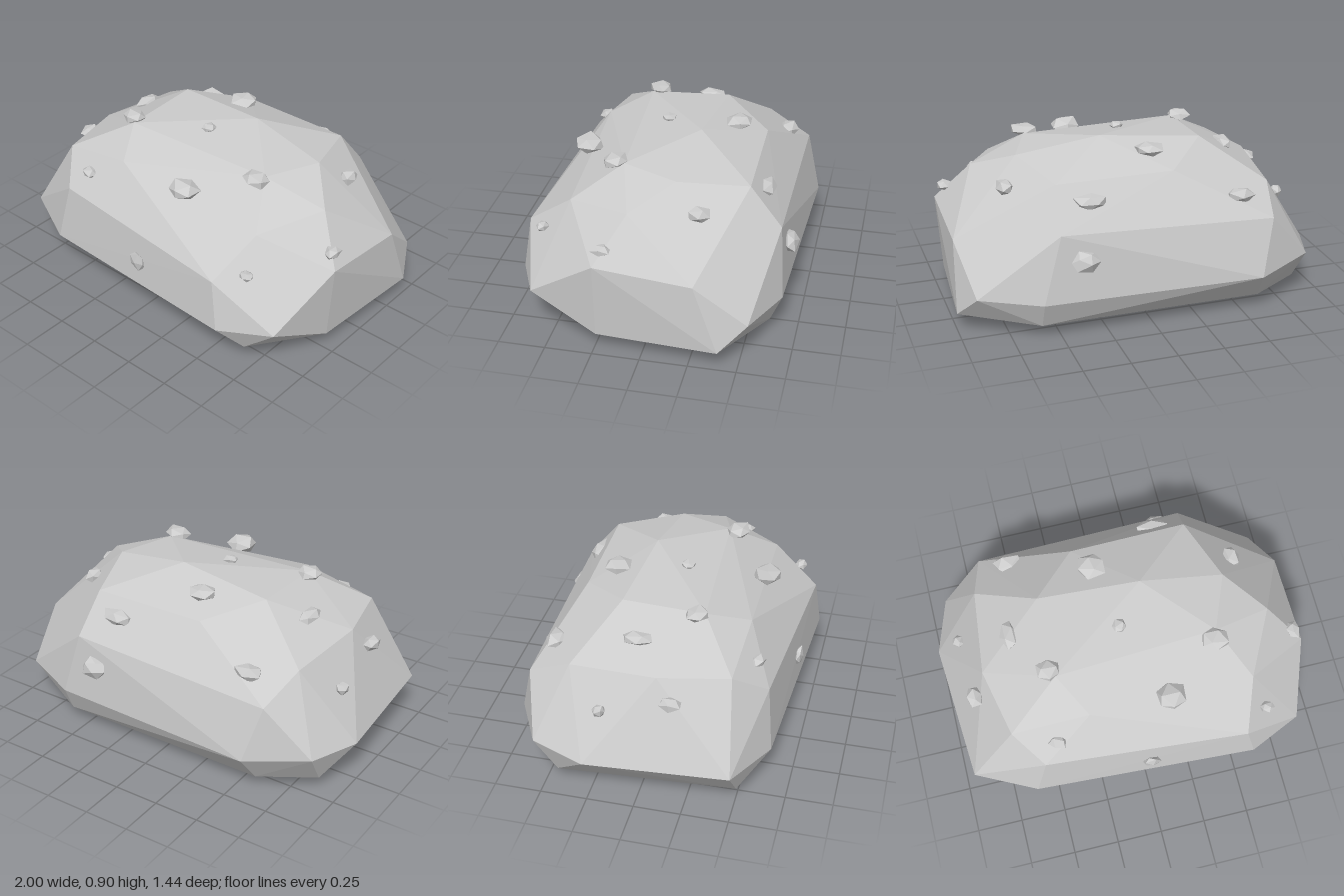
import * as THREE from 'three';
import { ConvexGeometry } from 'three/addons/geometries/ConvexGeometry.js';

const material = new THREE.MeshStandardMaterial({ color: 0xcccccc, flatShading: true });

function seeded(seed) {
  return () => {
    seed = (seed * 16807) % 2147483647;
    return seed / 2147483647;
  };
}

function hull(name, points) {
  const mesh = new THREE.Mesh(new ConvexGeometry(points), material);
  mesh.name = name;
  return mesh;
}

// Corner points of the faceted boulder, ring by ring
const corners = [
  // underside
  [-0.64, 0, 0.31], [0.66, 0, 0.31], [0.62, 0, -0.33], [-0.64, 0, -0.33],
  // lower bevel
  [-0.81, 0.06, 0.5], [0.7, 0.1, 0.61], [0.95, 0.09, 0.24], [1, 0.1, -0.4],
  [0.6, 0.07, -0.61], [-0.6, 0.07, -0.61], [-0.88, 0.07, -0.44],
  // widest ring
  [-0.62, 0.2, 0.645], [0.6, 0.225, 0.72], [0.88, 0.26, 0.6], [0.92, 0.23, -0.54],
  [0.6, 0.21, -0.67], [-0.58, 0.22, -0.72], [-0.9, 0.25, -0.56], [-1, 0.23, -0.27], [-0.945, 0.23, 0.49],
  // shoulder
  [-0.55, 0.53, 0.61], [0.55, 0.49, 0.69], [0.98, 0.51, 0.24], [0.98, 0.46, -0.27],
  [0.5, 0.57, -0.64], [-0.66, 0.52, -0.64],
  // upper slopes
  [-0.69, 0.67, 0.44], [-0.27, 0.75, 0.46], [0.63, 0.68, 0.44], [0.8, 0.73, 0.1],
  [0.48, 0.78, -0.47], [-0.16, 0.78, -0.46], [-0.72, 0.64, -0.4], [-0.77, 0.67, 0.07],
  // crown
  [-0.4, 0.84, 0.24], [0.48, 0.84, 0.19], [0.6, 0.83, -0.11], [0.15, 0.905, -0.15], [-0.4, 0.86, -0.2],
];

// Pebbles: centre x, y, z, then width, height, depth
const pebbles = [
  [0.17, 0.77, 0.46, 0.15, 0.09, 0.15],
  [-0.465, 0.635, 0.53, 0.1, 0.055, 0.08],
  [0.685, 0.535, 0.58, 0.08, 0.05, 0.07],
  [0.02, 0.36, 0.68, 0.1, 0.11, 0.05],
  [0.46, 0.845, 0.24, 0.14, 0.06, 0.13],
  [-0.43, 0.855, 0.2, 0.12, 0.06, 0.12],
  [-0.015, 0.88, 0.06, 0.075, 0.04, 0.07],
  [0.93, 0.585, 0.205, 0.07, 0.055, 0.1],
  [0.69, 0.71, -0.25, 0.1, 0.075, 0.11],
  [0.32, 0.69, -0.53, 0.17, 0.08, 0.1],
  [0.38, 0.43, -0.675, 0.15, 0.11, 0.09],
  [-0.08, 0.86, -0.31, 0.14, 0.06, 0.14],
  [-0.51, 0.63, -0.53, 0.15, 0.08, 0.13],
  [-0.59, 0.765, -0.07, 0.1, 0.06, 0.16],
  [-0.865, 0.485, -0.21, 0.065, 0.06, 0.07],
  [-0.84, 0.57, 0.16, 0.085, 0.07, 0.11],
];

// Icosahedron corners: cyclic permutations of (0, ±1, ±φ)
function pebblePoints([x, y, z, w, h, d], random) {
  const points = [];
  const spin = random() * 6.28;
  for (let axis = 0; axis < 3; axis++) {
    for (const a of [-1, 1]) {
      for (const b of [-1, 1]) {
        const p = new THREE.Vector3();
        p.setComponent((axis + 1) % 3, a);
        p.setComponent((axis + 2) % 3, b * 1.618);
        p.normalize().applyAxisAngle(new THREE.Vector3(0, 1, 0), spin);
        p.multiplyScalar(0.85 + 0.35 * random());
        points.push(p);
      }
    }
  }
  // fit the jittered stone to its size and place it
  const box = new THREE.Box3().setFromPoints(points);
  const size = box.getSize(new THREE.Vector3());
  const mid = box.getCenter(new THREE.Vector3());
  const scale = new THREE.Vector3(w, h, d).divide(size);
  return points.map((p) => p.sub(mid).multiply(scale).add(new THREE.Vector3(x, y, z)));
}

export function createModel() {
  const model = new THREE.Group();
  model.name = 'boulderWithPebbles';
  model.add(hull('boulder', corners.map((c) => new THREE.Vector3(...c))));

  const stones = new THREE.Group();
  stones.name = 'pebbles';
  const random = seeded(417);
  pebbles.forEach((p, i) => stones.add(hull(`pebble${i + 1}`, pebblePoints(p, random))));
  model.add(stones);
  return model;
}
